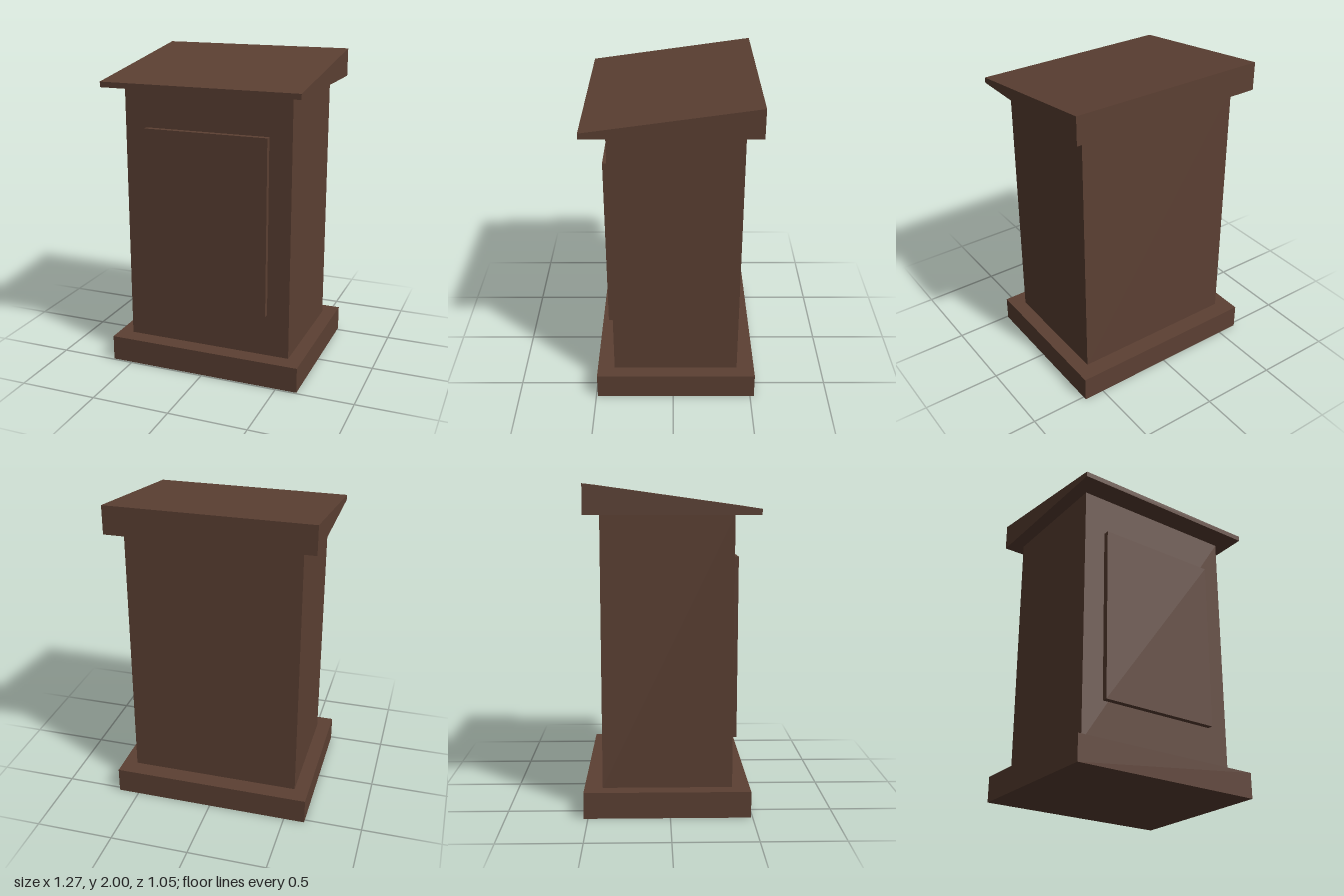
import * as THREE from 'three';

export function createModel() {
  const group = new THREE.Group();
  const wood = new THREE.MeshStandardMaterial({ color: 0x5c4033 });
  wood.name = 'dark brown wood';

  // Box given by its half width and its y and z ranges
  const block = (name, halfWidth, y0, y1, z0, z1) => {
    const mesh = new THREE.Mesh(new THREE.BoxGeometry(halfWidth * 2, y1 - y0, z1 - z0), wood);
    mesh.name = name;
    mesh.position.set(0, (y0 + y1) / 2, (z0 + z1) / 2);
    group.add(mesh);
    return mesh;
  };

  block('base', 0.634, 0, 0.163, -0.525, 0.49);
  block('body', 0.543, 0.163, 1.822, -0.413, 0.381);
  block('frontPanel', 0.4, 0.438, 1.566, 0.381, 0.418);

  // Slanted desk top: side profile (z, y) extruded across the width
  const profile = new THREE.Shape([
    new THREE.Vector2(-0.506, 1.822),
    new THREE.Vector2(0.527, 1.822),
    new THREE.Vector2(0.527, 1.856),
    new THREE.Vector2(-0.506, 2),
  ]);
  const geometry = new THREE.ExtrudeGeometry(profile, { depth: 1.268, bevelEnabled: false });
  geometry.translate(0, 0, -0.634);
  geometry.rotateY(-Math.PI / 2); // profile x becomes z
  const deskTop = new THREE.Mesh(geometry, wood);
  deskTop.name = 'deskTop';
  group.add(deskTop);

  return group;
}
